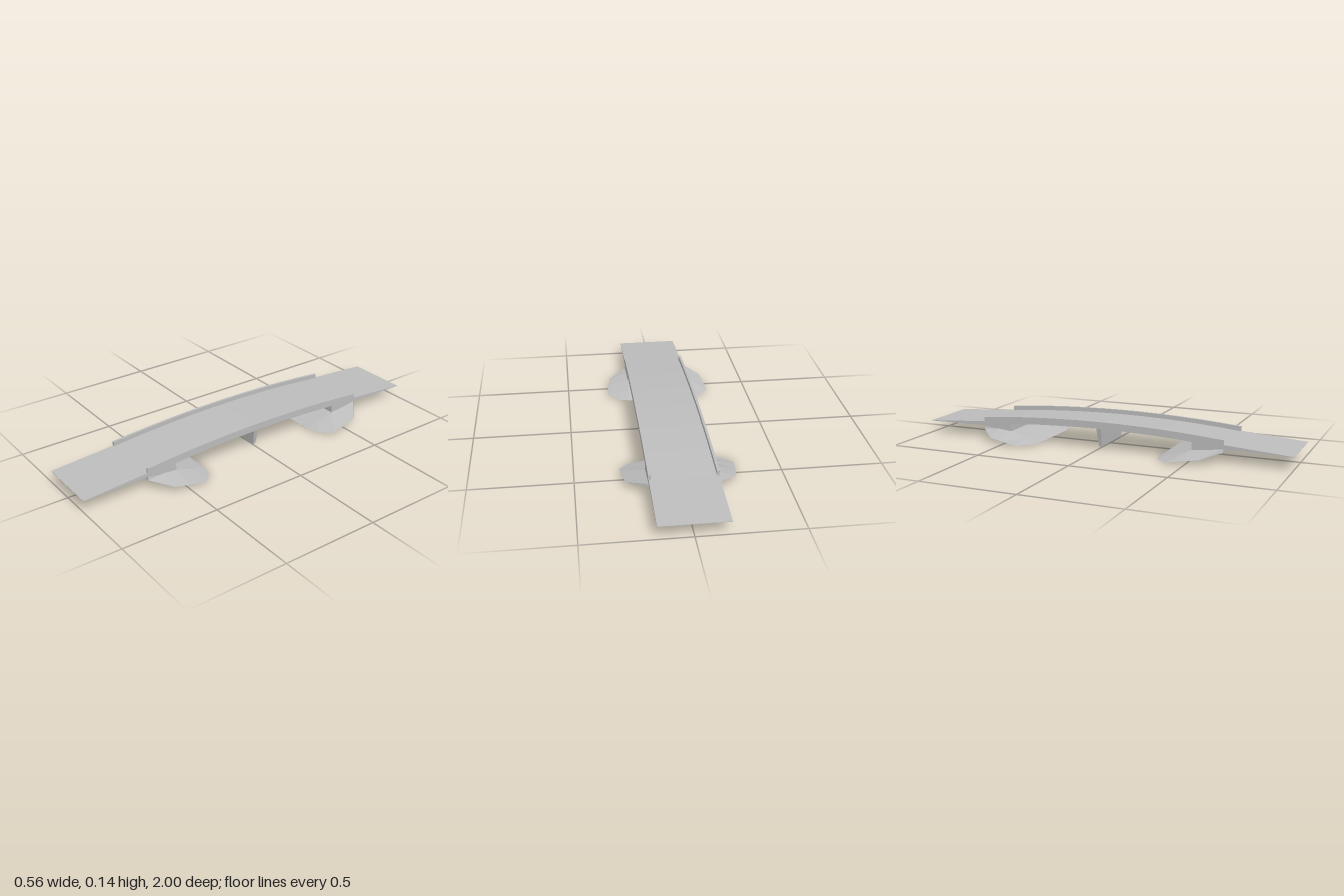
import * as THREE from 'three';

const concrete = new THREE.MeshStandardMaterial({ color: 0xbcbcbc, flatShading: true });
concrete.name = 'concrete';

const HALF = 0.165; // half the deck width
const SPAN = 0.66; // half the length between the ramps
const arch = (end, mid) => (z) => mid - (mid - end) * (z / SPAN) ** 2;
const deckTop = arch(0.09, 0.123);
const railTop = arch(0.114, 0.145);
const soffit = (z) => Math.abs(z) > 0.5 ? 0.09 : 0.109 - 0.019 * (z / 0.5) ** 2;

// Points [z, y] along a curve of height f(z)
function along(f, from, to, n = 12) {
  return Array.from({ length: n + 1 }, (_, i) => {
    const z = from + (to - from) * i / n;
    return [z, f(z)];
  });
}

// Side profile [z, y] extruded across x, from x0 to x1
function across(name, points, x0, x1) {
  const shape = new THREE.Shape(points.map(([z, y]) => new THREE.Vector2(z, y)));
  const geo = new THREE.ExtrudeGeometry(shape, { depth: x1 - x0, bevelEnabled: false });
  geo.rotateY(-Math.PI / 2).translate(x1, 0, 0);
  const mesh = new THREE.Mesh(geo, concrete);
  mesh.name = name;
  return mesh;
}

// Flared footing: stations of [z, outer half width, outer y, inner y]
function footingGeometry() {
  const stations = [
    [0.66, 0.167, 0.052, 0.068],
    [0.57, 0.262, 0.029, 0.057],
    [0.5, 0.272, 0.019, 0.05],
    [0.41, 0.282, 0.006, 0.024],
    [0.35, 0.225, 0.001, 0.006],
    [0.335, 0.16, 0, 0.001],
  ];
  const rings = stations.map(([z, w, lo, hi]) => {
    const t = Math.min(w, HALF) - 0.003;
    return [[-w, lo, z], [w, lo, z], [t, hi, z], [-t, hi, z]];
  });
  const pos = [];
  const quad = (a, b, c, d) => pos.push(...a, ...b, ...c, ...a, ...c, ...d);
  for (let i = 0; i < rings.length - 1; i++) {
    const p = rings[i], q = rings[i + 1];
    for (let j = 0; j < 4; j++) {
      const k = (j + 1) % 4;
      quad(p[j], q[j], q[k], p[k]);
    }
  }
  quad(...rings[0]);
  quad(...[...rings[rings.length - 1]].reverse());
  const geo = new THREE.BufferGeometry();
  geo.setAttribute('position', new THREE.Float32BufferAttribute(pos, 3));
  geo.computeVertexNormals();
  return geo;
}

export function createModel() {
  const group = new THREE.Group();
  group.name = 'archedBridge';

  // Arched deck with tapering ramps and abutment blocks in one profile
  group.add(across('deck', [
    [1, 0.064], [1, 0.066], ...along(deckTop, SPAN, -SPAN), [-1, 0.066], [-1, 0.064],
    [-SPAN, 0.068], [-SPAN, 0.053], [-0.5, 0.049],
    ...along(soffit, -0.5, 0.5), [0.5, 0.049], [SPAN, 0.053], [SPAN, 0.068],
  ], -0.163, 0.163));

  // Low parapets on both edges
  for (const side of [-1, 1]) {
    const x = side * 0.159;
    group.add(across(side > 0 ? 'leftParapet' : 'rightParapet', [
      ...along(railTop, SPAN, -SPAN), [-SPAN, 0.09],
      ...along(soffit, -0.5, 0.5), [SPAN, 0.09],
    ], x - 0.006, x + 0.006));
  }

  // Flared footings at both ends of the span
  const footing = footingGeometry();
  for (const end of [0, 1]) {
    const mesh = new THREE.Mesh(footing, concrete);
    mesh.name = end ? 'backFooting' : 'frontFooting';
    mesh.rotation.y = end * Math.PI;
    group.add(mesh);
  }

  // Central pier, tapering downwards
  const pierGeo = new THREE.BoxGeometry(0.296, 0.104, 0.028);
  const p = pierGeo.attributes.position;
  for (let i = 0; i < p.count; i++) {
    if (p.getY(i) < 0) p.setXYZ(i, p.getX(i) * 0.86, p.getY(i), p.getZ(i) * 0.5);
  }
  pierGeo.computeVertexNormals();
  const pier = new THREE.Mesh(pierGeo, concrete);
  pier.name = 'centralPier';
  pier.position.y = 0.06;
  group.add(pier);

  return group;
}
